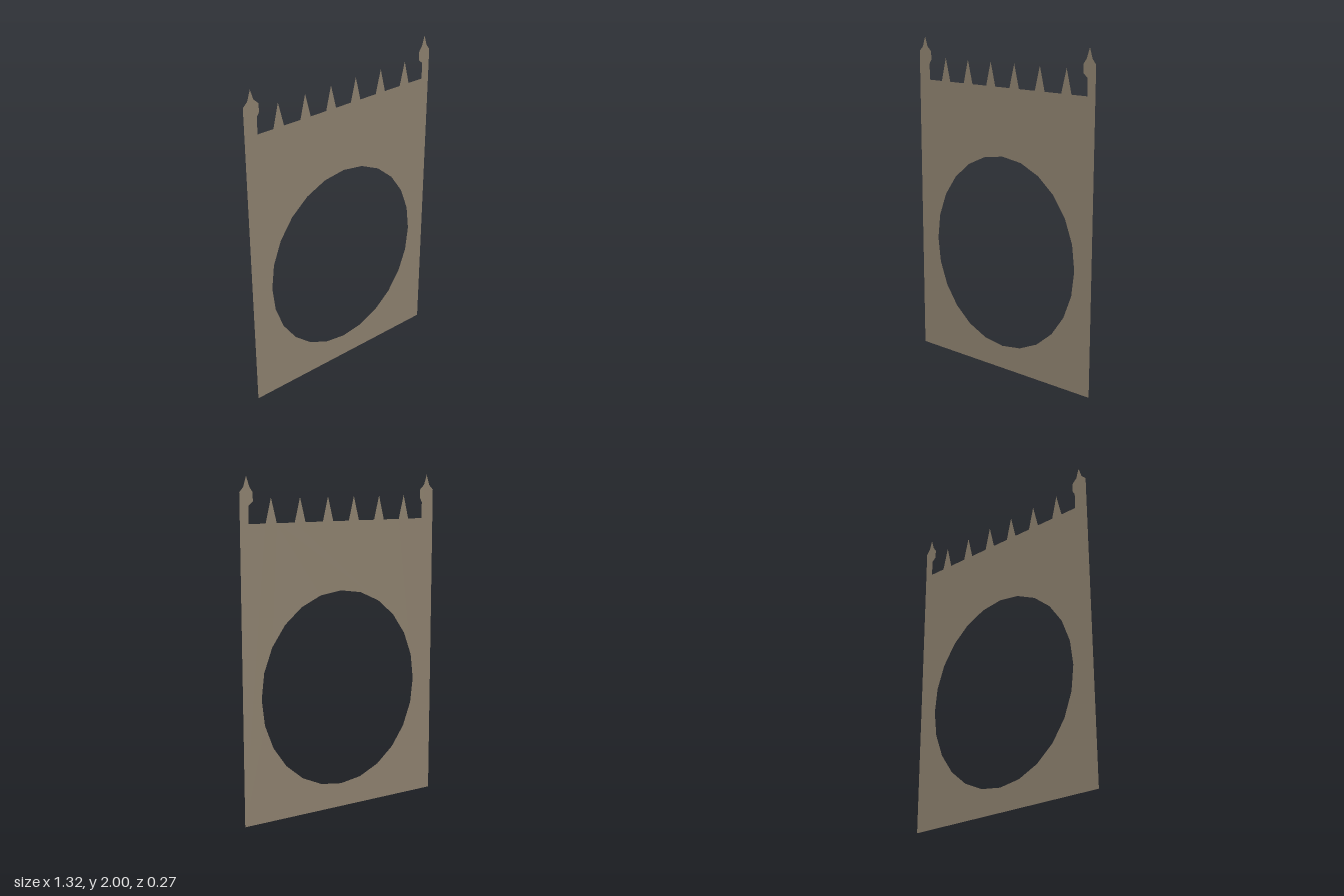
import * as THREE from 'three';

const TILT = Math.atan(0.205); // turn of the panel about the vertical axis

export function createModel() {
  const group = new THREE.Group();
  group.name = 'crestedPanel';
  const stone = new THREE.MeshStandardMaterial({ color: 0x8b7f6d, side: THREE.DoubleSide });
  stone.name = 'weatheredStone';

  const ledge = 1.737;
  const outline = [[-0.66, 0], [-0.66, 1.91]];
  // left finial
  outline.push([-0.632, 1.937], [-0.612, 2], [-0.593, 1.94], [-0.562, 1.91],
    [-0.562, 1.86], [-0.577, 1.835], [-0.577, ledge]);
  // row of spikes
  for (const x of [-0.44, -0.26, -0.082, 0.095, 0.28, 0.465]) {
    outline.push([x - 0.035, ledge], [x, 1.88], [x + 0.035, ledge]);
  }
  // right finial
  outline.push([0.605, ledge], [0.605, 1.835], [0.577, 1.86], [0.577, 1.91],
    [0.597, 1.94], [0.616, 2], [0.634, 1.94], [0.658, 1.91], [0.658, 0]);
  const shape = new THREE.Shape(outline.map(([x, y]) => new THREE.Vector2(x, y)));

  // oval opening with 24 straight segments
  const oval = [];
  for (let i = 0; i < 24; i++) {
    const a = (i / 24) * Math.PI * 2;
    oval.push(new THREE.Vector2(0.0075 + 0.5325 * Math.cos(a), 0.7375 + 0.5925 * Math.sin(a)));
  }
  shape.holes.push(new THREE.Path(oval));

  // flat sheet: widened so its front width is kept after turning
  const geometry = new THREE.ShapeGeometry(shape);
  geometry.scale(1 / Math.cos(TILT), 1, 1);
  geometry.rotateY(-TILT);

  const panel = new THREE.Mesh(geometry, stone);
  panel.name = 'panelWithOvalOpening';
  group.add(panel);
  return group;
}
